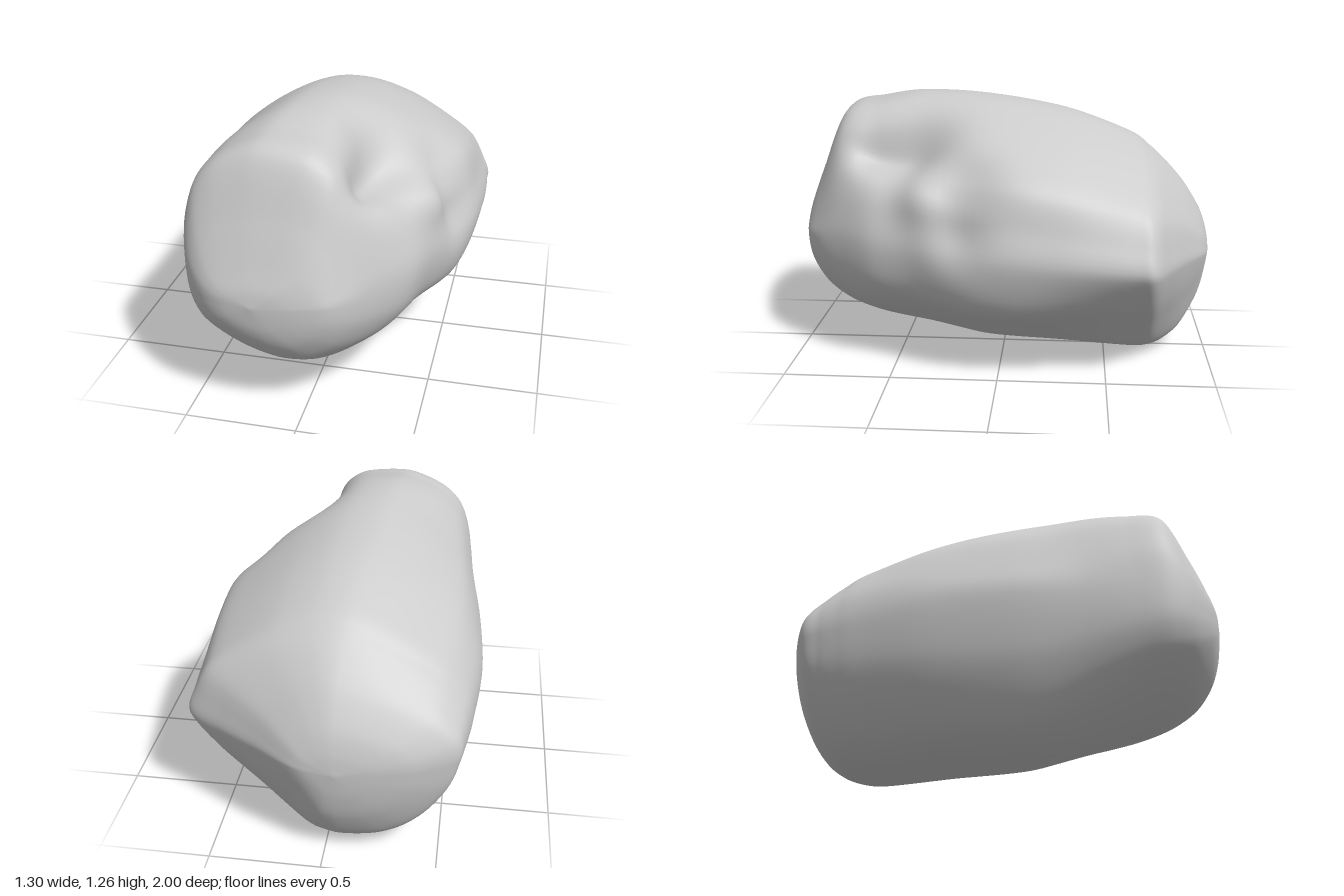
import * as THREE from 'three';

const CX = -0.1, CY = 0.56; // axis of the full-size outlines

// Boulder outlines across its length, counter-clockwise from the left side (+x),
// all drawn at full size with matching points
const MIDDLE = [
  [0.645, 0.6], [0.61, 0.77], [0.56, 0.94], [0.42, 1.06], [0.23, 1.18], [0.06, 1.25],
  [-0.1, 1.26], [-0.23, 1.22], [-0.4, 1.12], [-0.55, 0.99], [-0.63, 0.8], [-0.65, 0.66],
  [-0.59, 0.4], [-0.5, 0.22], [-0.4, 0.1], [-0.27, 0.03], [-0.13, 0], [0, 0.02],
  [0.13, 0.05], [0.4, 0.22], [0.57, 0.36],
];
// Blunt, squarish nose
const FRONT = [
  [0.645, 0.6], [0.59, 0.77], [0.51, 0.94], [0.43, 1.07], [0.34, 1.17], [0.17, 1.24],
  [-0.1, 1.26], [-0.25, 1.24], [-0.44, 1.17], [-0.57, 1.06], [-0.64, 0.88], [-0.65, 0.67],
  [-0.625, 0.47], [-0.56, 0.32], [-0.46, 0.22], [-0.31, 0.12], [-0.13, 0.04], [0.07, 0],
  [0.29, 0.03], [0.5, 0.18], [0.62, 0.38],
];
// Tail with a broad chamfer low on the left side
const BACK = [
  [0.645, 0.6], [0.61, 0.76], [0.54, 0.92], [0.4, 1.05], [0.23, 1.17], [0.06, 1.24],
  [-0.08, 1.25], [-0.22, 1.2], [-0.37, 1.11], [-0.53, 0.98], [-0.63, 0.81], [-0.65, 0.63],
  [-0.61, 0.42], [-0.52, 0.24], [-0.41, 0.11], [-0.28, 0.03], [-0.13, 0], [0, 0.01],
  [0.15, 0.06], [0.35, 0.25], [0.53, 0.43],
];

// Extents along the length: z, right edge, left edge, bottom, top
const STATIONS = [
  [1, -0.18, -0.18, 0.59, 0.59],
  [0.985, -0.32, -0.02, 0.47, 0.66],
  [0.95, -0.41, 0.12, 0.38, 0.75],
  [0.88, -0.49, 0.21, 0.29, 0.93],
  [0.77, -0.54, 0.3, 0.225, 1.18],
  [0.6, -0.56, 0.42, 0.17, 1.23],
  [0.4, -0.58, 0.49, 0.11, 1.26],
  [0.1, -0.62, 0.62, 0.035, 1.25],
  [-0.3, -0.645, 0.648, 0.02, 1.19],
  [-0.6, -0.62, 0.635, 0.005, 1.09],
  [-0.7, -0.605, 0.62, 0.01, 1.02],
  [-0.78, -0.59, 0.48, 0.03, 0.945],
  [-0.87, -0.56, 0.31, 0.1, 0.84],
  [-0.95, -0.4, 0.17, 0.25, 0.71],
  [-0.985, -0.24, 0.08, 0.38, 0.61],
  [-1, -0.06, -0.06, 0.51, 0.51],
];

// Hollow with a raised lip in the upper front shoulder: x, y, z, radius, depth
const DENTS = [
  [0.27, 1.04, 0.42, 0.18, 0.15],
  [0.22, 1.05, 0.6, 0.12, 0.07],
  [0.5, 0.93, 0.15, 0.15, 0.07],
  [0.55, 0.68, 0.15, 0.12, 0.06],
  [0.44, 0.84, 0.35, 0.11, -0.05],
];

const spline = (pts, closed) => new THREE.CatmullRomCurve3(
  pts.map(([a, b, c = 0]) => new THREE.Vector3(a, b, c)), closed, 'catmullrom', 0.45);

function boulderGeometry(rings = 120, around = 120) {
  const [middle, front, back] = [MIDDLE, FRONT, BACK].map((o) => {
    const curve = spline(o, true);
    return Array.from({ length: around }, (_, j) => curve.getPoint(j / around));
  });
  const widths = spline(STATIONS.map(([z, l, r]) => [l, r, z]), false);
  const heights = spline(STATIONS.map(([z, , , b, t]) => [b, t, z]), false);
  const pos = [], index = [];

  for (let i = 0; i <= rings; i++) {
    const w = widths.getPoint(i / rings), h = heights.getPoint(i / rings);
    const toFront = THREE.MathUtils.smoothstep(w.z, 0.15, 0.8);
    const toBack = THREE.MathUtils.smoothstep(-w.z, 0, 0.7);
    // The axis leans slightly from tail to nose
    const cx = -0.12 - 0.06 * w.z, cy = 0.55 + 0.04 * w.z;
    for (let j = 0; j < around; j++) {
      const o = middle[j].clone().lerp(front[j], toFront).lerp(back[j], toBack);
      // Scale each side of the outline to this ring's extents
      const dx = o.x - CX, dy = o.y - CY;
      let x = cx + dx * (dx > 0 ? (w.y - cx) / (0.645 - CX) : (cx - w.x) / (CX + 0.65));
      let y = cy + dy * (dy > 0 ? (h.y - cy) / (1.26 - CY) : (cy - h.x) / CY);
      // Press the dents in towards the axis
      let push = 0;
      for (const [a, b, c, r, depth] of DENTS) {
        const d2 = (x - a) ** 2 + (y - b) ** 2 + (w.z - c) ** 2;
        push += depth * Math.exp(-d2 / (r * r));
      }
      const len = Math.hypot(x - cx, y - cy) || 1;
      x -= (push * (x - cx)) / len;
      y -= (push * (y - cy)) / len;
      pos.push(x, y, w.z);
    }
  }

  // Each end ring is a single shared point
  const id = (i, j) => i * around + (i === 0 || i === rings ? 0 : j % around);
  for (let i = 0; i < rings; i++) {
    for (let j = 0; j < around; j++) {
      const a = id(i, j), b = id(i, j + 1), c = id(i + 1, j), d = id(i + 1, j + 1);
      if (a !== b) index.push(a, c, b);
      if (c !== d) index.push(b, c, d);
    }
  }
  const geo = new THREE.BufferGeometry();
  geo.setAttribute('position', new THREE.Float32BufferAttribute(pos, 3));
  geo.setIndex(index);
  geo.computeVertexNormals();
  return geo;
}

export function createModel() {
  const group = new THREE.Group();
  group.name = 'rock';
  const boulder = new THREE.Mesh(
    boulderGeometry(),
    new THREE.MeshStandardMaterial({ color: 0xcccccc }));
  boulder.name = 'boulder';
  group.add(boulder);
  return group;
}
